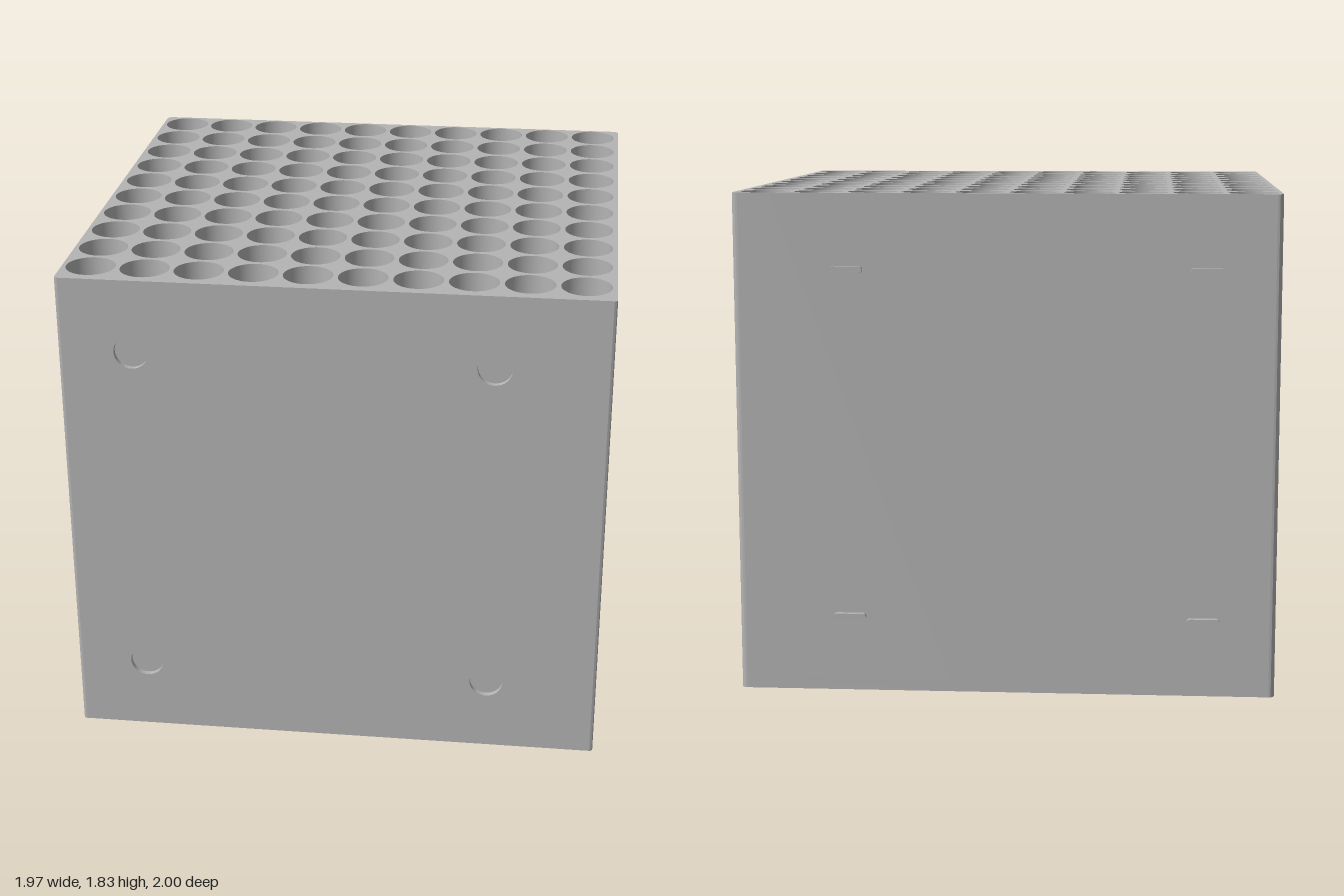
import * as THREE from 'three';
import { toCreasedNormals } from 'three/addons/utils/BufferGeometryUtils.js';

const W = 0.983, H = 1.83, FRONT = 1, BACK = -0.98;
const FLOOR = 0.04, RECESS = 0.02, POST = 0.03;
const MOUNT_X = [-0.72, 0.573], MOUNT_Y = [0.28, 1.557];

const circle = (x, y, r) => new THREE.Path().absarc(x, y, r, 0, Math.PI * 2, true);

function extrude(shape, depth, curveSegments) {
  const g = new THREE.ExtrudeGeometry(shape, { depth, bevelEnabled: false, curveSegments });
  return toCreasedNormals(g, 0.6);
}

// Plan outline with rounded corners, and a shallow notch where the front panel sits
function planOutline() {
  const s = new THREE.Shape(), rb = 0.022, rf = 0.012;
  const f = -FRONT, b = -BACK, n = W - POST;
  s.moveTo(n, f);
  s.lineTo(W - rf, f);
  s.absarc(W - rf, f + rf, rf, -Math.PI / 2, 0, false);
  s.lineTo(W, b - rb);
  s.absarc(W - rb, b - rb, rb, 0, Math.PI / 2, false);
  s.lineTo(-W + rb, b);
  s.absarc(-W + rb, b - rb, rb, Math.PI / 2, Math.PI, false);
  s.lineTo(-W, f + rf);
  s.absarc(-W + rf, f + rf, rf, Math.PI, Math.PI * 1.5, false);
  s.lineTo(-n, f);
  s.lineTo(-n, f + RECESS);
  s.lineTo(n, f + RECESS);
  s.closePath();
  return s;
}

export function createModel() {
  const group = new THREE.Group();
  const grey = new THREE.MeshStandardMaterial({ color: 0xb4b4b4 });
  grey.name = 'grey plastic';
  const add = (name, geometry, x = 0, y = 0, z = 0) => {
    const m = new THREE.Mesh(geometry, grey);
    m.name = name;
    m.position.set(x, y, z);
    group.add(m);
  };

  // Block with a ten by ten grid of deep round sockets
  const plan = planOutline();
  for (let i = 0; i < 10; i++)
    for (let j = 0; j < 10; j++)
      plan.holes.push(circle(-0.879 + i * 0.195, 0.882 - j * 0.195, 0.089));
  add('socketBlock', extrude(plan, H - FLOOR, 24).rotateX(-Math.PI / 2), 0, FLOOR);

  // Closed base under the sockets
  add('base', extrude(planOutline(), FLOOR, 24).rotateX(-Math.PI / 2));

  // Front panel with four round recesses
  const n = W - POST;
  const panel = new THREE.Shape([[-n, 0], [n, 0], [n, H], [-n, H]].map(p => new THREE.Vector2(...p)));
  for (const x of MOUNT_X) for (const y of MOUNT_Y) panel.holes.push(circle(x, y, 0.062));
  add('frontPanel', extrude(panel, RECESS, 24), 0, 0, FRONT - RECESS);

  // Four pill-shaped tabs on the back
  const r = 0.013, half = 0.06 - r;
  const pill = new THREE.Shape();
  pill.absarc(half, 0, r, -Math.PI / 2, Math.PI / 2, false);
  pill.absarc(-half, 0, r, Math.PI / 2, Math.PI * 1.5, false);
  pill.closePath();
  const tab = extrude(pill, 0.03, 8);
  for (const x of MOUNT_X) for (const y of MOUNT_Y) add('backTab', tab, x, y, -1);

  return group;
}
